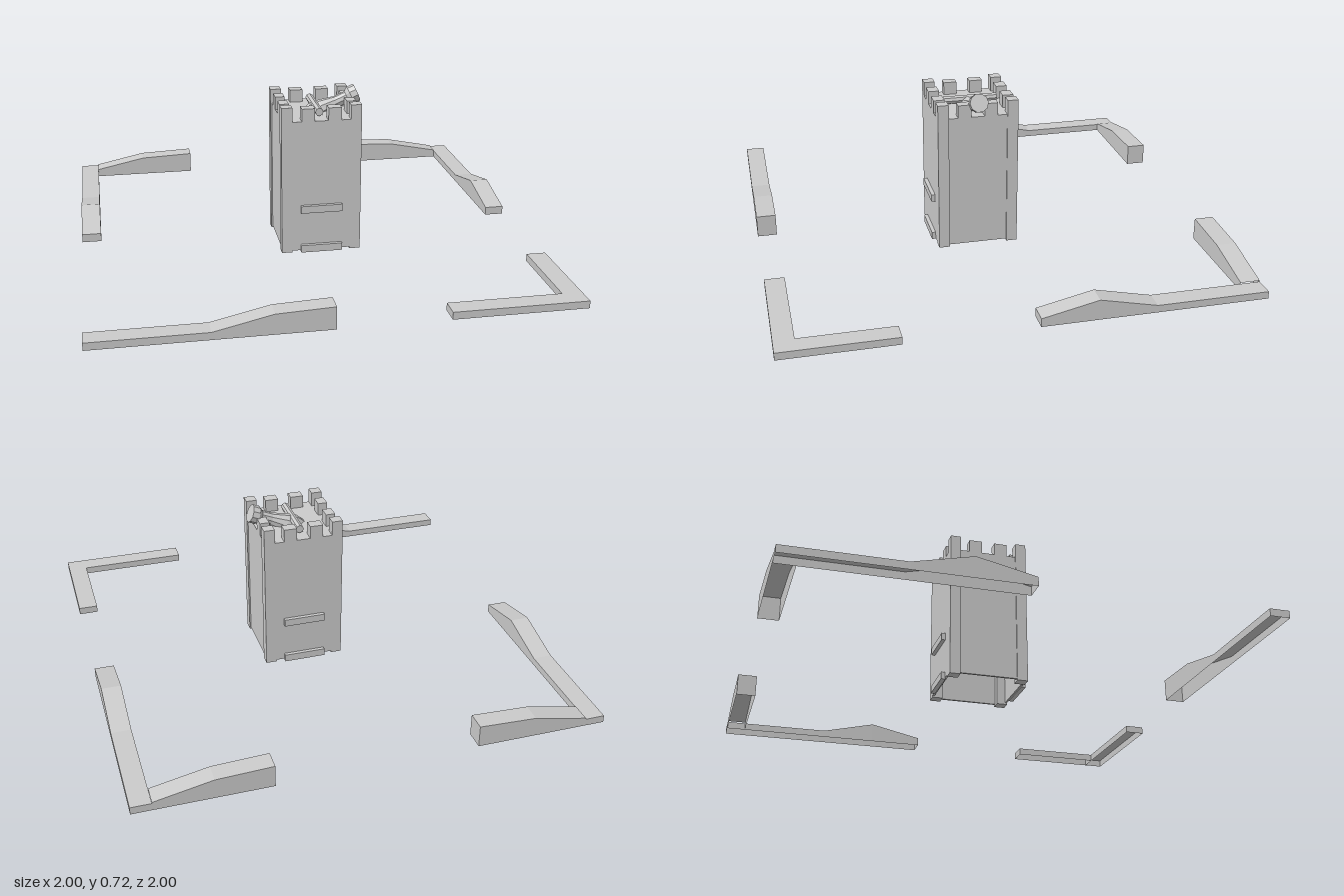
import * as THREE from 'three';

const grey = new THREE.MeshStandardMaterial({ color: 0xcccccc, flatShading: true, side: THREE.DoubleSide });

function add(parent, name, geometry) {
  const mesh = new THREE.Mesh(geometry, grey);
  mesh.name = name;
  parent.add(mesh);
  return mesh;
}

// Box given by its limits on each axis
function box(parent, name, x0, x1, y0, y1, z0, z1) {
  const mesh = add(parent, name, new THREE.BoxGeometry(x1 - x0, y1 - y0, z1 - z0));
  mesh.position.set((x0 + x1) / 2, (y0 + y1) / 2, (z0 + z1) / 2);
  return mesh;
}

// Hollow wall, open below. profile: [distance, height] pairs; a, b: limits across the wall
function rampart(parent, name, profile, a, b, alongZ, capStart = true, capEnd = true) {
  const base = 0.013;
  const pos = [];
  const point = (u, y, w) => (alongZ ? [w, y, u] : [u, y, w]);
  // the corner order flips with the direction of the wall so faces point outwards
  const quad = (p, q, r, s) => {
    const order = alongZ ? [p, r, q, p, s, r] : [p, q, r, p, r, s];
    order.forEach((c) => pos.push(...point(...c)));
  };
  for (let i = 0; i < profile.length - 1; i++) {
    const [u, h] = profile[i];
    const [v, k] = profile[i + 1];
    quad([u, h, b], [v, k, b], [v, k, a], [u, h, a]);
    quad([u, base, b], [v, base, b], [v, k, b], [u, h, b]);
    quad([v, base, a], [u, base, a], [u, h, a], [v, k, a]);
  }
  const [u, h] = profile[0];
  const [v, k] = profile[profile.length - 1];
  if (capStart) quad([u, base, a], [u, base, b], [u, h, b], [u, h, a]);
  if (capEnd) quad([v, base, b], [v, base, a], [v, k, a], [v, k, b]);
  const geometry = new THREE.BufferGeometry();
  geometry.setAttribute('position', new THREE.Float32BufferAttribute(pos, 3));
  geometry.computeVertexNormals();
  add(parent, name, geometry);
}

function createTower() {
  const tower = new THREE.Group();
  tower.name = 'tower';
  const half = 0.178, post = 0.048, deck = 0.61, skin = 0.01, inset = 0.006;

  // Corner posts rise into the corner battlements
  for (const sx of [-1, 1]) for (const sz of [-1, 1]) {
    const m = box(tower, 'cornerPost', 0, post, 0, 0.675, 0, post);
    m.position.x = sx * (half - post / 2);
    m.position.z = sz * (half - post / 2);
  }

  // Thin walls between the posts, battlements and raised bands
  const inner = half - post;
  for (const s of [-1, 1]) {
    const zFace = s * half, xFace = s * (half - inset);
    const span = (face, depth) => [Math.min(face, face - s * depth), Math.max(face, face - s * depth)];
    box(tower, 'wall', -inner, inner, 0.008, deck, ...span(zFace, skin));
    box(tower, 'sideWall', ...span(xFace, skin), 0.008, deck, -inner, inner);
    for (const c of [-0.059, 0.059]) {
      box(tower, 'merlon', c - 0.029, c + 0.029, deck, 0.667, ...span(zFace, post));
      box(tower, 'sideMerlon', ...span(xFace, post - inset), deck, 0.667, c - 0.029, c + 0.029);
    }
    for (const y of [0.003, 0.19]) {
      box(tower, 'band', -0.093, 0.093, y, y + 0.033, ...span(zFace + s * 0.017, 0.02));
    }
  }
  box(tower, 'deck', -half + inset, half - inset, deck - 0.015, deck, -half + 0.001, half - 0.001);
  tower.position.set(0.0575, 0, 0.0375);
  return tower;
}

function createCannon() {
  const cannon = new THREE.Group();
  cannon.name = 'cannon';
  // Barrel profile from breech to muzzle
  const profile = [
    [0, -0.275], [0.028, -0.27], [0.045, -0.215], [0.042, -0.17],
    [0.027, -0.1], [0.027, -0.05], [0.041, -0.032], [0.041, 0], [0, 0],
  ].map(([r, y]) => new THREE.Vector2(r, y));
  const barrel = add(cannon, 'barrel', new THREE.LatheGeometry(profile, 10));
  barrel.position.set(0.25, 0.68, 0.037);
  barrel.rotation.z = THREE.MathUtils.degToRad(-67);

  const axle = add(cannon, 'axle', new THREE.CylinderGeometry(0.018, 0.018, 0.24, 8));
  axle.position.set(0.058, 0.632, 0.036);
  axle.rotation.x = Math.PI / 2;
  return cannon;
}

function createRamparts() {
  const walls = new THREE.Group();
  walls.name = 'ramparts';
  const low = 0.045, out = 1, inn = 0.915;

  // Side walls with a hump, and rising back walls
  const hump = [[-1, low], [-0.52, low], [-0.275, 0.102], [-0.035, 0.05]];
  rampart(walls, 'rightSideWall', hump, -out, -inn, true);
  rampart(walls, 'leftSideWall', hump, inn, out, true);
  rampart(walls, 'backRightWall', [[-inn, 0.05], [-0.68, 0.1], [-0.43, 0.11]], -out, -inn, false, false);
  rampart(walls, 'backLeftWall', [[0.43, 0.11], [0.67, 0.1], [inn, 0.05]], -out, -inn, false, true, false);

  // Front walls: one rising towards the middle, one low corner
  rampart(walls, 'frontRightWall', [[-1, low], [-0.52, low], [-0.275, 0.1], [-0.035, 0.11]], inn, out, false);
  rampart(walls, 'frontLeftWall', [[0.43, low], [1, low]], inn, out, false);
  rampart(walls, 'frontLeftReturn', [[0.515, low], [inn, low]], inn, out, true, true, false);
  return walls;
}

export function createModel() {
  const model = new THREE.Group();
  model.name = 'castle';
  model.add(createTower(), createCannon(), createRamparts());
  return model;
}
